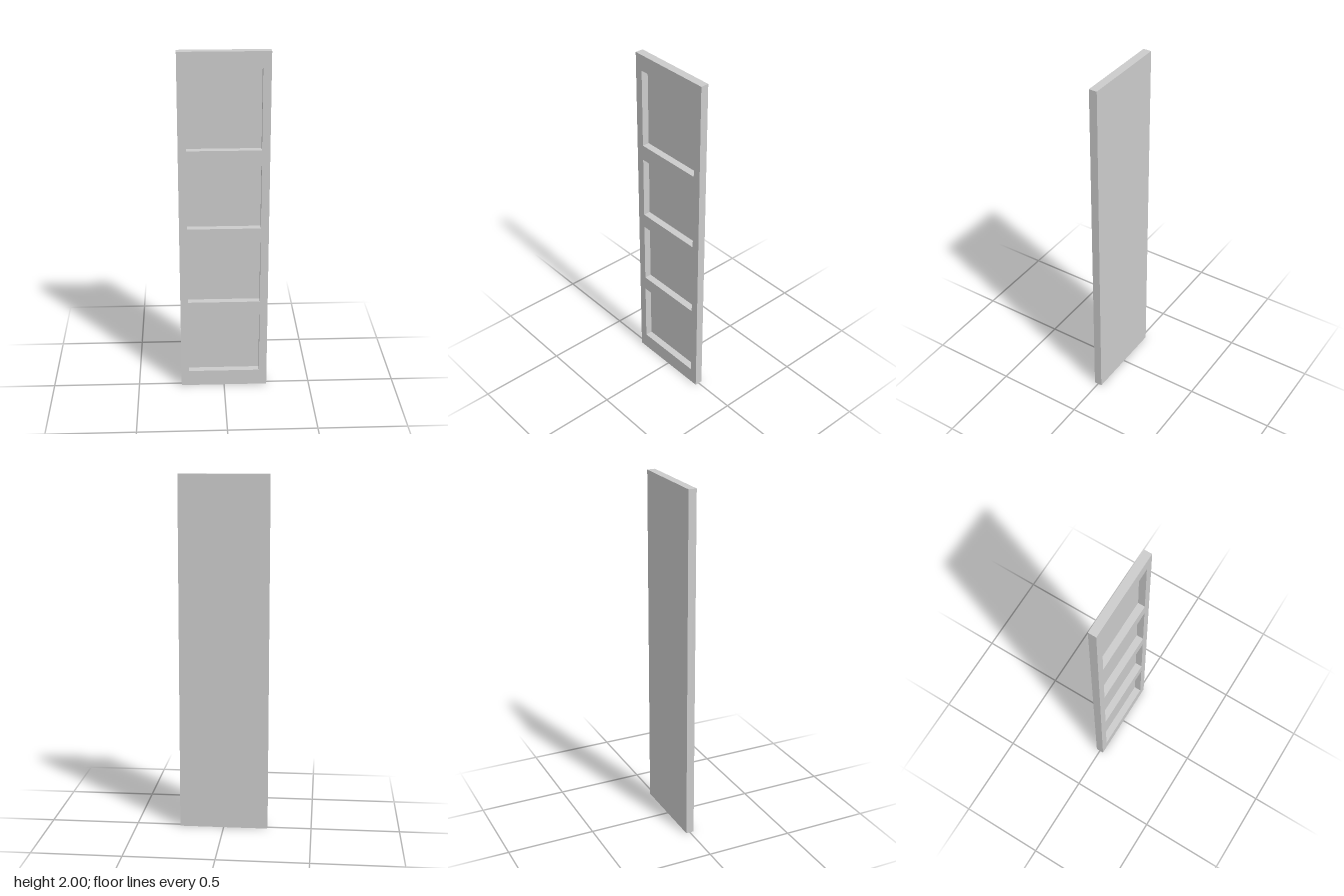
import * as THREE from 'three';

const WIDTH = 0.5, HEIGHT = 2, DEPTH = 0.046, BACK = 0.005;
const OPENING_HALF = 0.205;
// bottom and top of each recessed panel
const OPENINGS = [[0.095, 0.46], [0.545, 0.915], [1.0, 1.367], [1.457, 1.91]];

function trace(path, x0, y0, x1, y1) {
  path.moveTo(x0, y0);
  path.lineTo(x1, y0);
  path.lineTo(x1, y1);
  path.lineTo(x0, y1);
  path.closePath();
  return path;
}

export function createModel() {
  const group = new THREE.Group();
  group.name = 'panelDoor';
  const material = new THREE.MeshStandardMaterial({ color: 0xcccccc });

  // one-piece slab outline, open only at the front
  const outline = trace(new THREE.Shape(), -WIDTH / 2, 0, WIDTH / 2, HEIGHT);
  for (const [bottom, top] of OPENINGS) {
    outline.holes.push(trace(new THREE.Path(), -OPENING_HALF, bottom, OPENING_HALF, top));
  }

  // stiles and rails
  const frame = new THREE.Mesh(
    new THREE.ExtrudeGeometry(outline, { depth: DEPTH, bevelEnabled: false }), material);
  frame.name = 'frame';
  frame.position.z = -DEPTH / 2;
  group.add(frame);

  // thin panels closing each opening, flush with the back
  OPENINGS.forEach(([bottom, top], i) => {
    const panel = new THREE.Mesh(
      new THREE.BoxGeometry(OPENING_HALF * 2, top - bottom, BACK), material);
    panel.name = `recessedPanel${i + 1}`;
    panel.position.set(0, (bottom + top) / 2, (BACK - DEPTH) / 2);
    group.add(panel);
  });

  return group;
}
